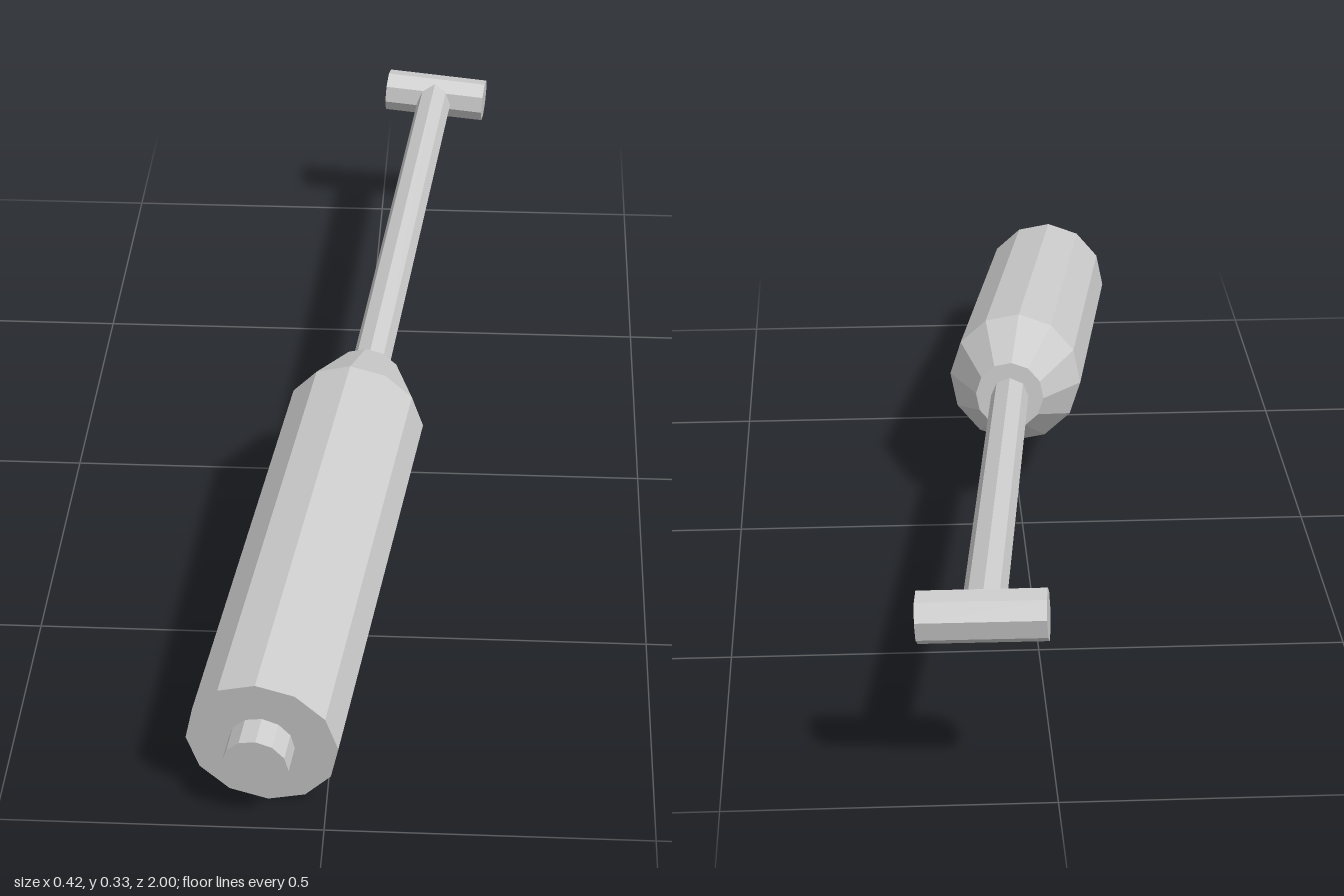
import * as THREE from 'three';

const material = new THREE.MeshStandardMaterial({ color: 0xcccccc, flatShading: true });

// Faceted solid turned around the line from a to b.
// profile: [radius, fraction of the length], roll: turn about the axis.
function turned(name, a, b, sides, profile, roll = 0) {
  const from = new THREE.Vector3(...a), to = new THREE.Vector3(...b);
  const length = from.distanceTo(to);
  const points = profile.map(([r, t]) => new THREE.Vector2(r, t * length));
  const geometry = new THREE.LatheGeometry(points, sides);
  geometry.rotateX(Math.PI / 2);
  geometry.rotateZ(roll);
  const mesh = new THREE.Mesh(geometry, material);
  mesh.name = name;
  mesh.position.copy(from);
  mesh.lookAt(to);
  return mesh;
}

const rod = (r) => [[0, 0], [r, 0], [r, 1], [0, 1]];

export function createModel() {
  const group = new THREE.Group();
  group.name = 'handTool';

  const handleEnd = [-0.097, 0.118, 0.943];
  const neck = [0.02, 0.227, 0.047];

  // Thick grip tapering to a narrow neck
  group.add(turned('handle', handleEnd, neck, 12,
    [[0, 0], [0.118, 0], [0.118, 0.862], [0.06, 1], [0, 1]], -0.045));

  // Small button on the end of the grip
  group.add(turned('endButton', handleEnd, [-0.103, 0.112, 0.992], 12, rod(0.051), -0.045));

  // Thin shaft and the crossbar at its tip
  group.add(turned('shaft', neck, [0.108, 0.288, -0.945], 8, rod(0.033)));
  group.add(turned('crossbar', [0.013, 0.293, -0.963], [0.205, 0.283, -0.942], 8, rod(0.04), 0.22));

  return group;
}
